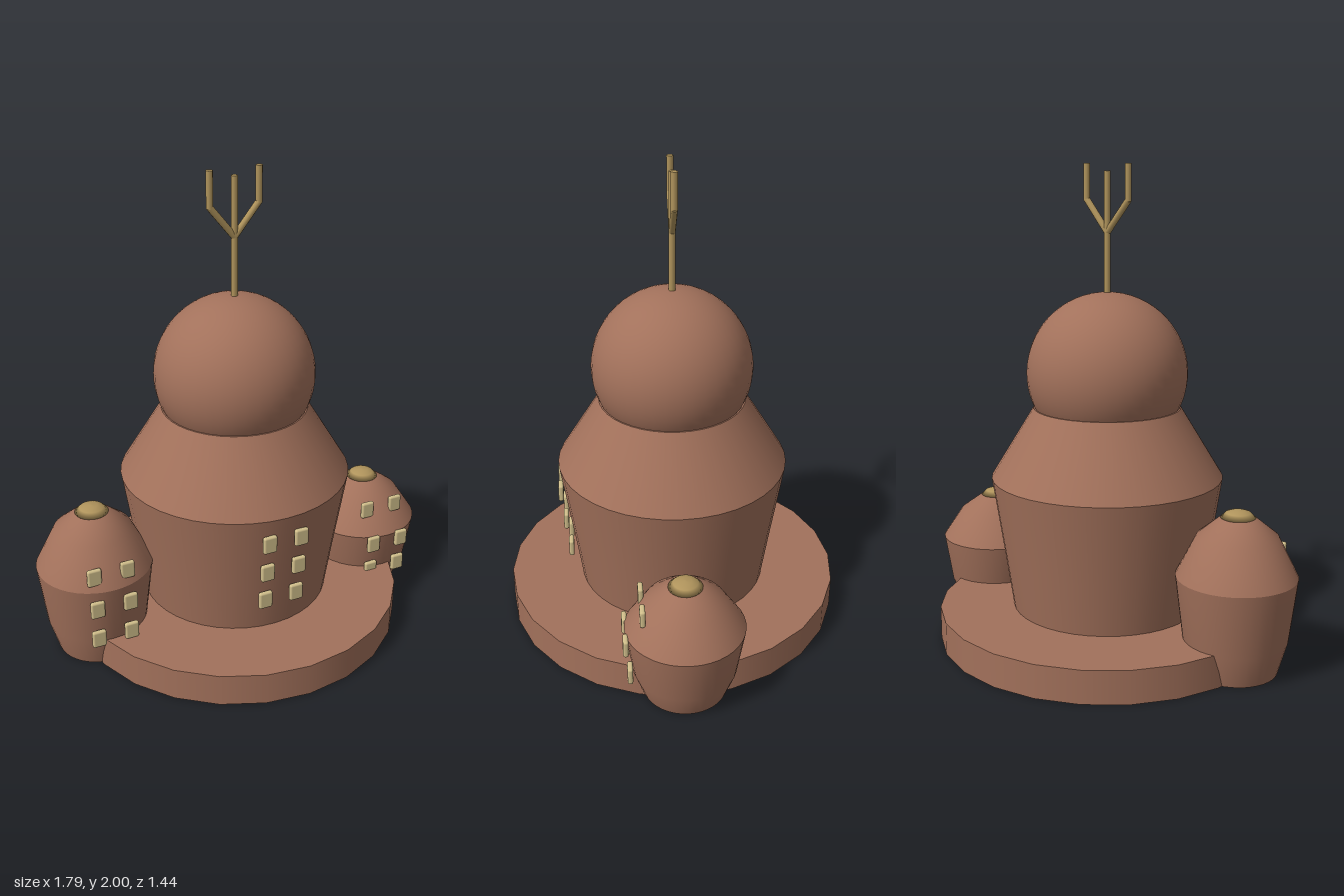
import * as THREE from 'three';
import { RoundedBoxGeometry } from 'three/addons/geometries/RoundedBoxGeometry.js';

const material = (name, color) => {
  const m = new THREE.MeshStandardMaterial({ color });
  m.name = name;
  return m;
};

export function createModel() {
  const clay = material('clay brown', 0xa2715b);
  const gold = material('dull gold', 0xb0945c);
  const cream = material('window cream', 0xd2c08c);
  const model = new THREE.Group();
  model.name = 'moundTowers';

  const add = (parent, name, geometry, mat, x = 0, y = 0, z = 0) => {
    const mesh = new THREE.Mesh(geometry, mat);
    mesh.name = name;
    mesh.position.set(x, y, z);
    parent.add(mesh);
    return mesh;
  };
  // Profile given as [radius, height] pairs, bottom to top
  const lathe = (points, segments = 40) =>
    new THREE.LatheGeometry(points.map(([r, y]) => new THREE.Vector2(r, y)), segments);

  // Straight round rod between two points
  const rod = (parent, name, from, to, radius = 0.014) => {
    const a = new THREE.Vector3(...from), b = new THREE.Vector3(...to);
    const dir = b.clone().sub(a);
    const mesh = add(parent, name, new THREE.CylinderGeometry(radius, radius, dir.length(), 10), gold);
    mesh.position.copy(a).add(b).multiplyScalar(0.5);
    mesh.quaternion.setFromUnitVectors(new THREE.Vector3(0, 1, 0), dir.normalize());
  };

  // Pairs of windows, one row per [height, z]
  const windowGeometry = new RoundedBoxGeometry(0.06, 0.076, 0.022, 2, 0.009);
  const windows = (parent, rows) => {
    for (const [y, z] of rows)
      for (const x of [-0.071, 0.071]) add(parent, 'window', windowGeometry, cream, x, y, z);
  };

  // Round plinth
  add(model, 'base', new THREE.CylinderGeometry(0.72, 0.72, 0.14, 24), clay, 0, 0.07, 0);

  // Main tower: flared wall, sloping shoulder and dome
  const tower = new THREE.Group();
  tower.name = 'mainTower';
  model.add(tower);
  add(tower, 'wall', lathe([[0.385, 0.02], [0.405, 0.14], [0.437, 0.36], [0.49, 0.705]]), clay);
  add(tower, 'shoulder', lathe([[0.49, 0.705], [0.31, 1.0]]), clay);
  add(tower, 'shoulderTop', lathe([[0.31, 1.0], [0, 1.0]]), clay);
  add(tower, 'dome', new THREE.SphereGeometry(0.337, 40, 20, 0, Math.PI * 2, 0, 2.04), clay, 0, 1.144, 0);
  windows(tower, [[0.597, 0.483], [0.453, 0.466], [0.31, 0.449]]);

  // Three-pronged antenna
  const antenna = new THREE.Group();
  antenna.name = 'antenna';
  model.add(antenna);
  rod(antenna, 'mast', [0, 1.44, 0], [0, 1.97, 0]);
  for (const s of [-1, 1]) {
    rod(antenna, 'arm', [0, 1.725, 0], [s * 0.106, 1.855, 0]);
    rod(antenna, 'prong', [s * 0.106, 1.85, 0], [s * 0.106, 2, 0]);
  }

  // Side towers: wall, rounded roof and gold cap
  const sideTower = (name, x, rim, roof, top, rows) => {
    const group = new THREE.Group();
    group.name = name;
    group.position.x = x;
    model.add(group);
    add(group, 'floor', lathe([[0, 0], [0.173, 0]]), clay);
    add(group, 'wall', lathe([[0.173, 0], [0.212, rim * 0.34], [0.245, rim]]), clay);
    add(group, 'roof', lathe([[0.245, rim], [0.163, roof], [0.07, top], [0, top + 0.01]]), clay);
    add(group, 'cap', lathe([[0, top - 0.008], [0.07, top], [0.05, top + 0.02], [0.025, top + 0.028], [0, top + 0.03]], 24), gold);
    windows(group, rows);
  };
  sideTower('rightTower', -0.652, 0.4, 0.565, 0.64, [[0.462, 0.212], [0.32, 0.234], [0.175, 0.231]]);
  sideTower('leftTower', 0.65, 0.31, 0.433, 0.5, [[0.423, 0.174], [0.28, 0.242], [0.14, 0.226]]);

  return model;
}
